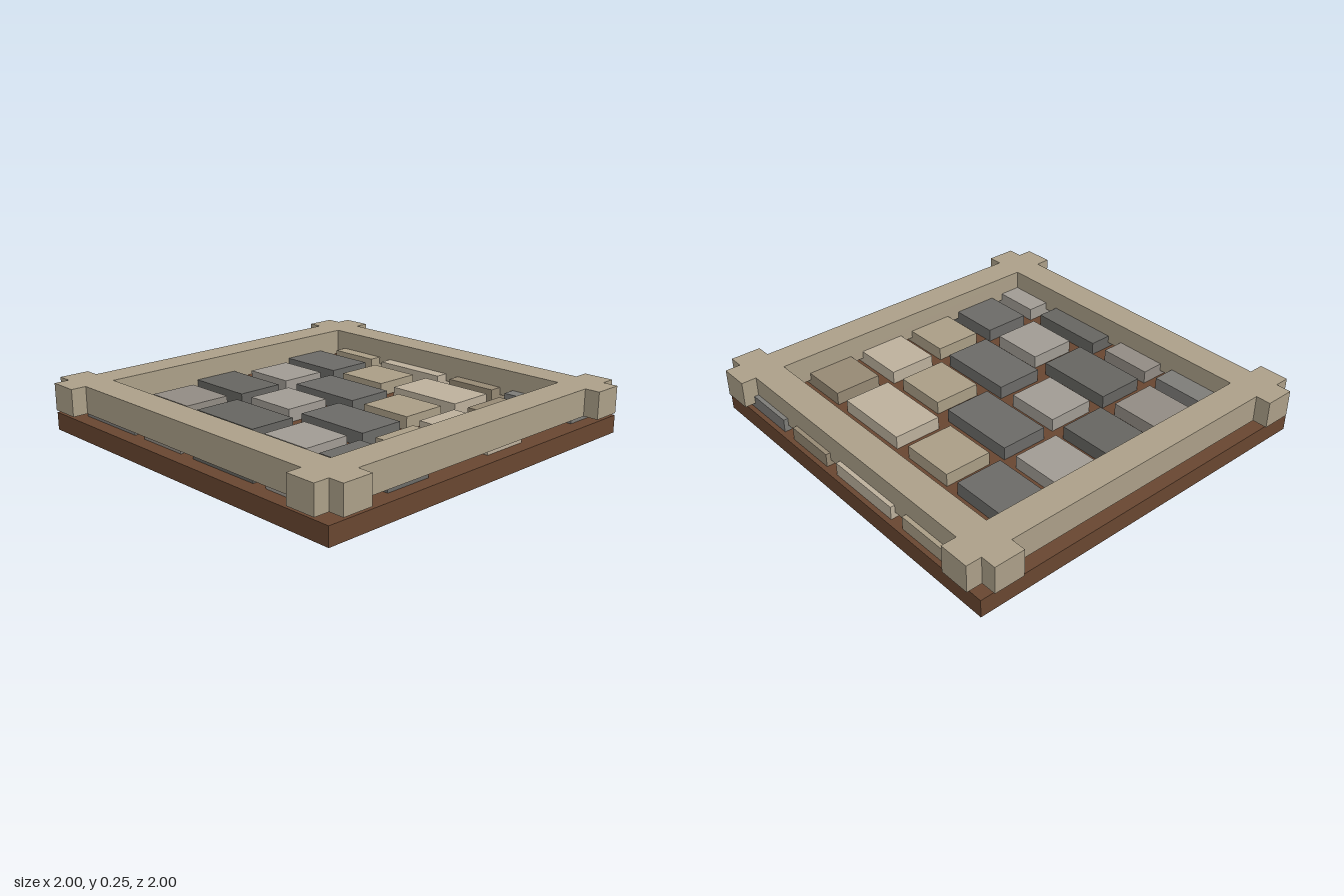
import * as THREE from 'three';

export function createModel() {
  const model = new THREE.Group();
  model.name = 'pavedFrame';

  const material = (color) => new THREE.MeshStandardMaterial({ color });
  const block = (name, parent, mat, size, position) => {
    const mesh = new THREE.Mesh(new THREE.BoxGeometry(...size), mat);
    mesh.name = name;
    mesh.position.set(...position);
    parent.add(mesh);
    return mesh;
  };

  // Flat soil slab
  block('soilBase', model, material(0x684630), [1.94, 0.09, 1.94], [0, 0.045, 0]);

  // Four crossing beams with ends that stick out at the corners
  const beams = new THREE.Group();
  beams.name = 'borderFrame';
  model.add(beams);
  const beamMat = material(0xab9f88);
  const beamOffset = 0.845, beamWidth = 0.155, beamHeight = 0.137, beamY = 0.1865;
  for (const side of [-1, 1]) {
    block(side > 0 ? 'frontBeam' : 'backBeam', beams, beamMat,
      [2, beamHeight, beamWidth], [0, beamY, side * beamOffset]);
    block(side > 0 ? 'leftBeam' : 'rightBeam', beams, beamMat,
      [beamWidth, beamHeight, 2], [side * beamOffset, beamY, 0]);
  }

  // Paving stones: six rows, alternately starting with a narrow or a wide stone
  const stones = new THREE.Group();
  stones.name = 'pavingStones';
  model.add(stones);
  const palette = [0x7d7c78, 0x918b83, 0x656460, 0xa09b93, 0x6b6a67, 0xa99d85, 0xbcb09c, 0x958873]
    .map(material);
  const rowSpans = [
    [[-0.71, -0.43], [-0.35, 0.06], [0.14, 0.42], [0.5, 0.9]],
    [[-0.81, -0.405], [-0.33, -0.05], [0.04, 0.445], [0.525, 0.805]],
  ];
  const bottom = 0.08, top = 0.157;
  for (let row = 0; row < 6; row++) {
    const z = -0.822 + row * 0.319;
    rowSpans[row % 2].forEach(([x0, x1], col) => {
      block(`stoneRow${row + 1}Column${col + 1}`, stones, palette[(5 - row + col) % 8],
        [x1 - x0, top - bottom, 0.246], [(x0 + x1) / 2, (top + bottom) / 2, z]);
    });
  }

  return model;
}
